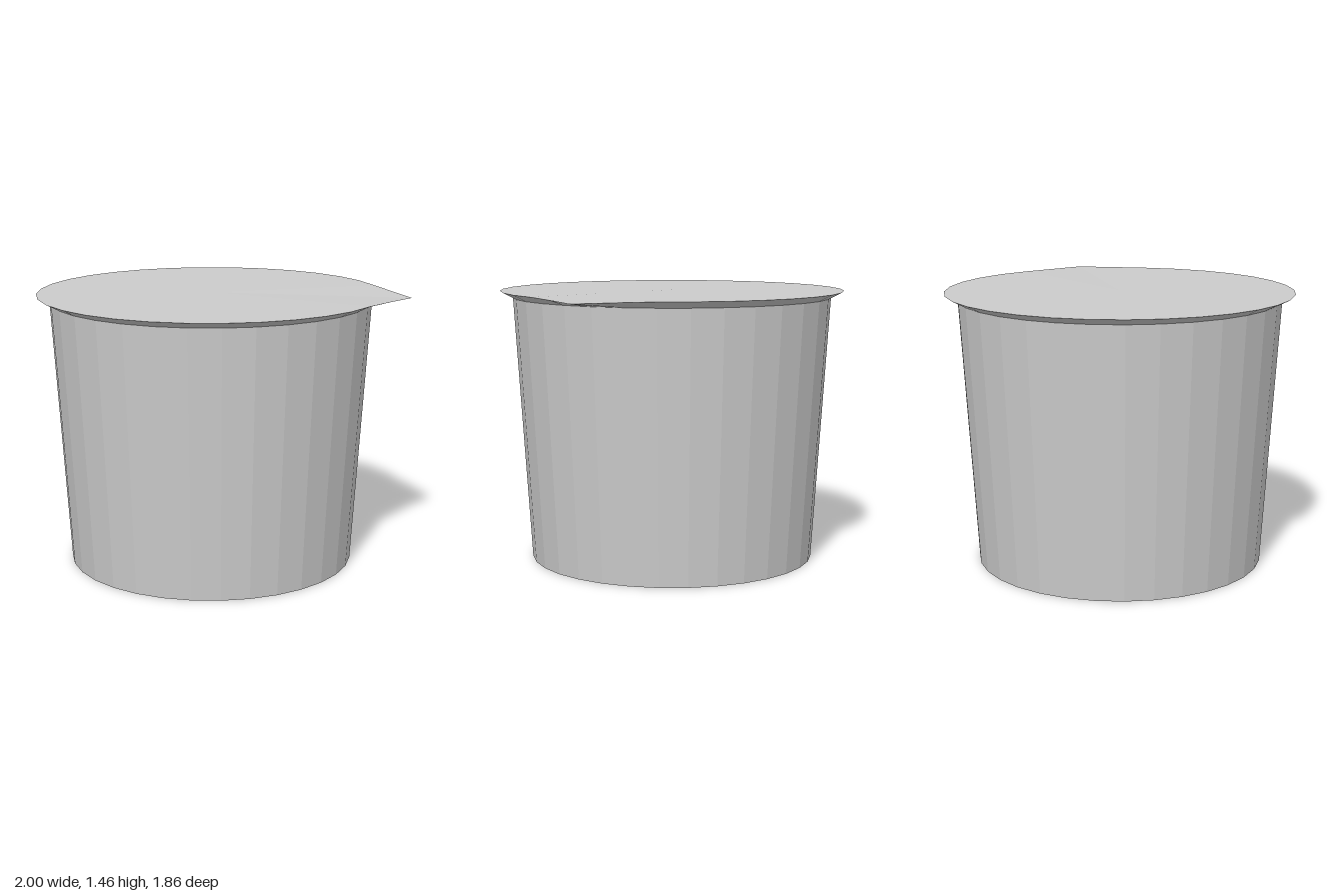
import * as THREE from 'three';

const SIDES = 32;
const CENTRE_X = -0.07;

// Faceted surface of revolution; profile is [radius, height] pairs
function turned(name, profile, material) {
  const points = profile.map(([r, y]) => new THREE.Vector2(r, y));
  const mesh = new THREE.Mesh(new THREE.LatheGeometry(points, SIDES), material);
  mesh.name = name;
  mesh.position.x = CENTRE_X;
  return mesh;
}

export function createModel() {
  const model = new THREE.Group();
  model.name = 'sealedCup';
  const grey = new THREE.MeshStandardMaterial({ color: 0xcccccc, flatShading: true });

  // Tapered cup with a recessed base
  model.add(turned('cup', [
    [0, 0.1], [0.74, 0.1], [0.75, 0], [0.77, 0], [0.86, 1.425],
  ], grey));

  // Flat lid over a thin flared rim
  const lid = turned('lid', [[0.86, 1.425], [0.93, 1.461], [0, 1.461]], grey);

  // Draw the rim out into a pull tab on the +x side
  const p = lid.geometry.attributes.position;
  for (let i = 0; i < p.count; i++) {
    const x = p.getX(i), z = p.getZ(i);
    if (Math.hypot(x, z) < 0.9 || x < 0.9) continue;
    const tip = Math.abs(z) < 0.01;
    p.setX(i, tip ? 1.07 : 0.96);
    p.setY(i, tip ? 1.452 : 1.457);
  }
  lid.geometry.computeVertexNormals();
  model.add(lid);

  return model;
}
